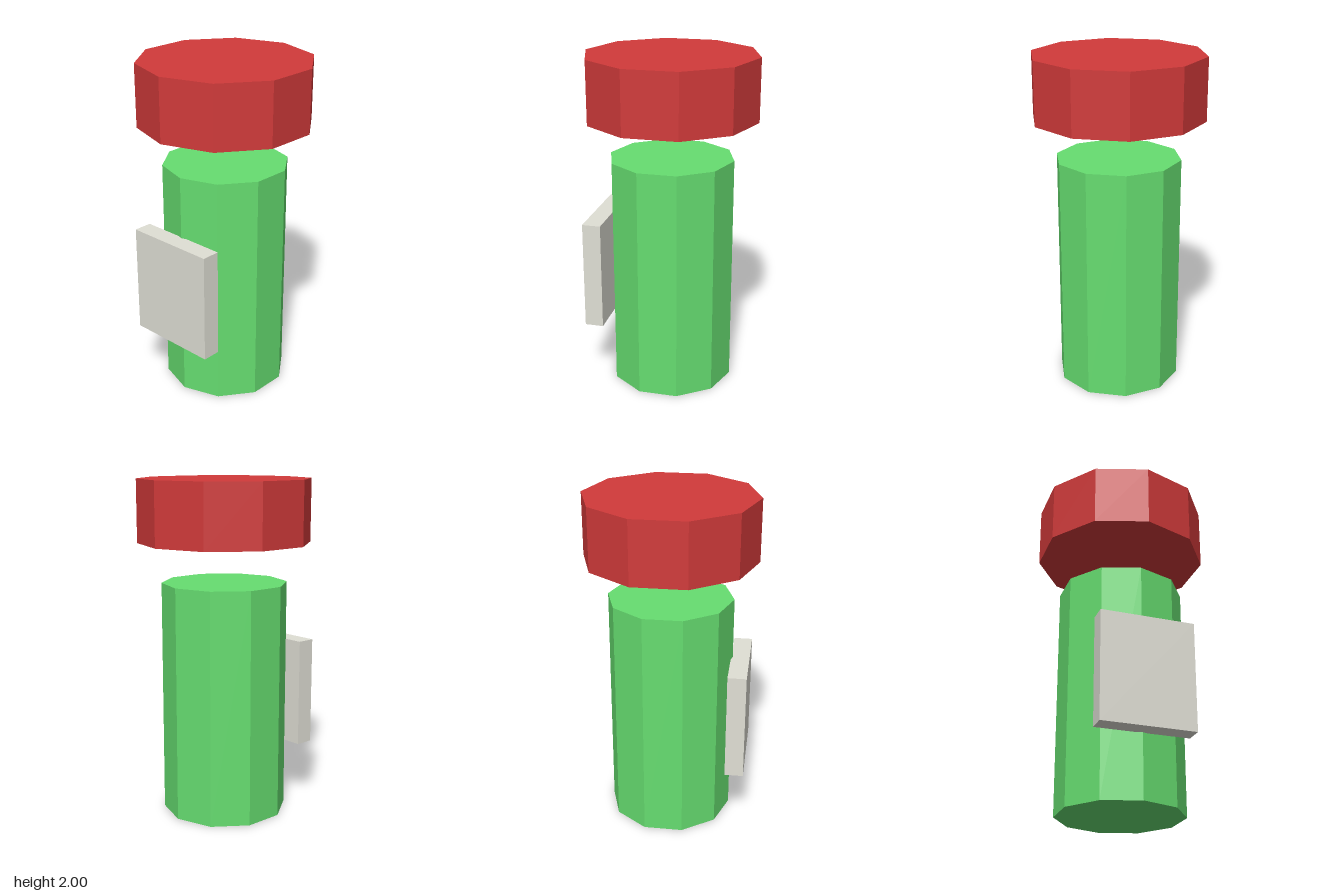
import * as THREE from 'three';

const mat = (name, color) => {
  const m = new THREE.MeshStandardMaterial({ color });
  m.name = name;
  m.flatShading = true;
  return m;
};

export function createModel() {
  const group = new THREE.Group();
  group.name = 'cappedBottle';

  const add = (name, geometry, material, x, y, z) => {
    const mesh = new THREE.Mesh(geometry, material);
    mesh.name = name;
    mesh.position.set(x, y, z);
    group.add(mesh);
  };

  // Ten-sided prism with a corner facing the front
  const prism = (radius, height) => new THREE.CylinderGeometry(radius, radius, height, 10);

  // Body standing on the ground
  add('body', prism(0.372, 1.395), mat('green', 0x66dd70), 0, 0.6975, 0);

  // Wider cap floating above the body
  add('cap', prism(0.51, 0.37), mat('red', 0xd13a3a), 0, 1.815, 0);

  // Label plate on the front
  add('label', new THREE.BoxGeometry(0.556, 0.65, 0.11), mat('warmGrey', 0xe0dfd5), 0, 0.7, 0.417);

  return group;
}
